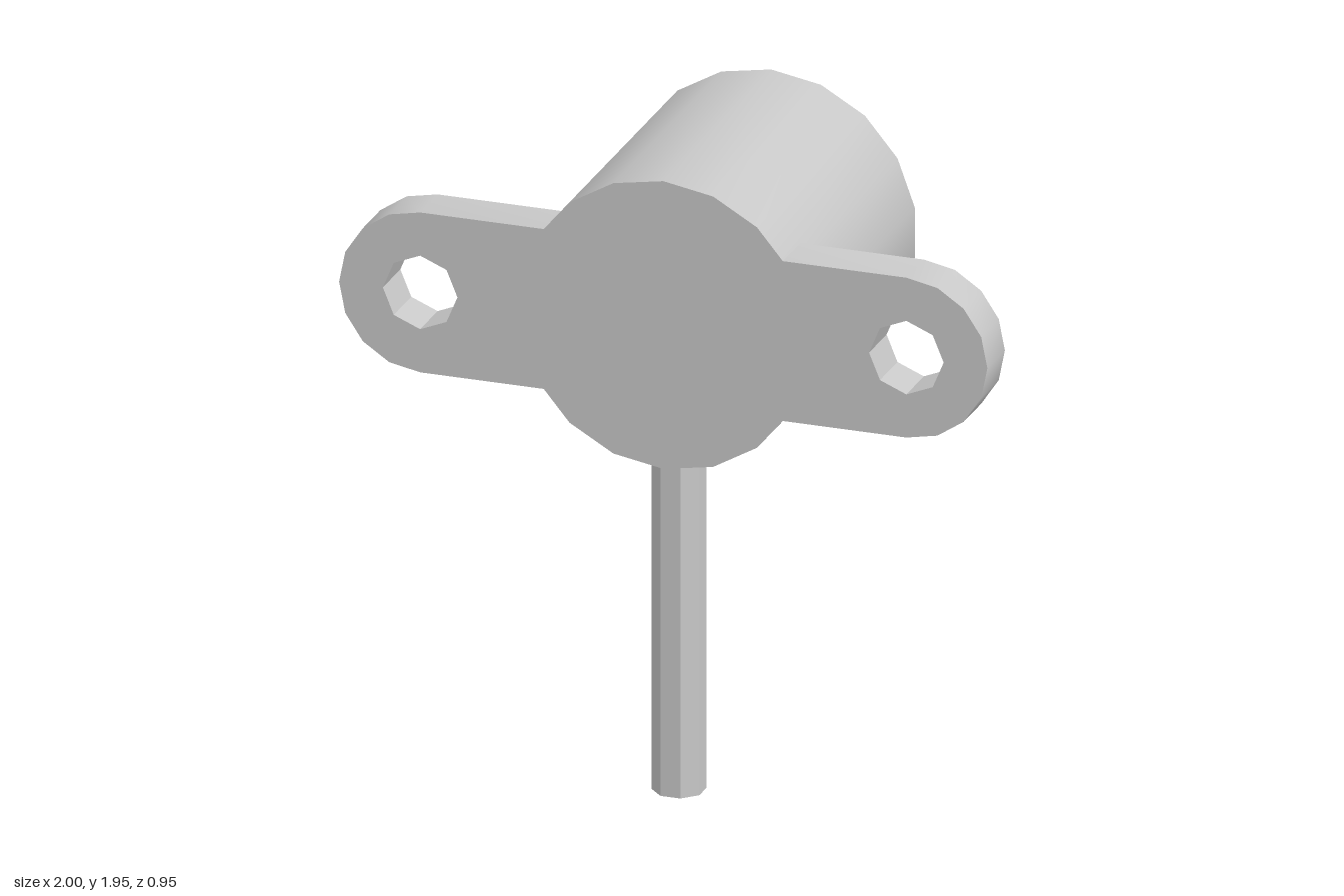
import * as THREE from 'three';
import { toCreasedNormals } from 'three/addons/utils/BufferGeometryUtils.js';

export function createModel() {
  const model = new THREE.Group();
  const grey = new THREE.MeshStandardMaterial({ color: 0xc8c8c8 });
  grey.name = 'lightGrey';

  const add = (name, geometry, x, y, z) => {
    const mesh = new THREE.Mesh(geometry, grey);
    mesh.name = name;
    mesh.position.set(x, y, z);
    model.add(mesh);
  };

  const axisY = 1.5, front = 0.475, flangeDepth = 0.15;

  // Round housing: closed front, chamfered back rim, stepped blind bore
  const profile = [
    [0, 0.3], [0.13, 0.3], [0.13, -0.14], [0.3, -0.14], [0.3, -0.475],
    [0.425, -0.475], [0.45, -0.45], [0.45, 0.475], [0, 0.475],
  ].map(([r, z]) => new THREE.Vector2(r, z));
  const housing = new THREE.LatheGeometry(profile, 18);
  housing.rotateX(Math.PI / 2);
  add('housing', toCreasedNormals(housing, 0.6), 0, axisY, 0);

  // Flange with rounded ends and a faceted screw hole in each ear
  const outline = new THREE.Shape();
  outline.absarc(0.75, 0, 0.25, -Math.PI / 2, Math.PI / 2, false);
  outline.absarc(-0.75, 0, 0.25, Math.PI / 2, Math.PI * 1.5, false);
  outline.closePath();
  for (const side of [-1, 1]) {
    const hole = new THREE.Path();
    hole.absarc(side * 0.75, 0, 0.115, 0, Math.PI * 2, true);
    outline.holes.push(hole);
  }
  const flange = new THREE.ExtrudeGeometry(outline, {
    depth: flangeDepth, bevelEnabled: false, curveSegments: 4,
  });
  add('flange', toCreasedNormals(flange, 0.6), 0, axisY, front - flangeDepth);

  // Eight-sided pin hanging below the housing, one flat facing forward
  const pin = new THREE.CylinderGeometry(0.08, 0.08, 1.1, 8).rotateY(Math.PI / 8);
  add('pin', toCreasedNormals(pin, 0.6), 0, 0.55, 0.34);

  return model;
}
